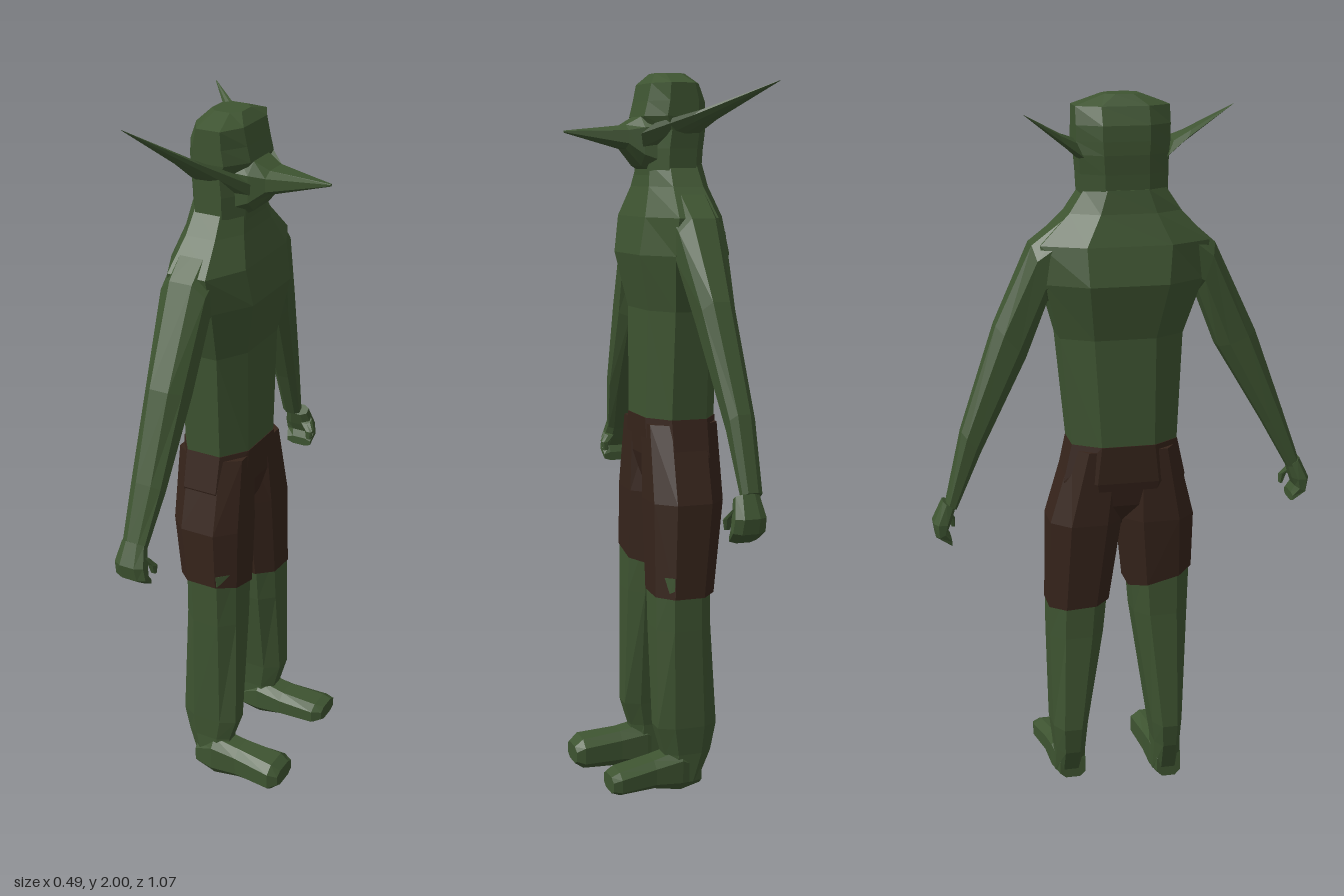
import * as THREE from 'three';

const V = (x, y, z) => new THREE.Vector3(x, y, z);
const skin = new THREE.MeshStandardMaterial({ color: 0x3e5431, flatShading: true });
const cloth = new THREE.MeshStandardMaterial({ color: 0x36241b, flatShading: true });

// Eight-sided ring around c with half-axes u and v; k sets how square it is
function ring(c, u, v, k = 0.5) {
  return [[1, k], [k, 1], [-k, 1], [-1, k], [-1, -k], [-k, -1], [k, -1], [1, -k]]
    .map(([a, b]) => c.clone().addScaledVector(u, a).addScaledVector(v, b));
}

// Ring across a limb: back/front x, outer (z, y) and inner (z, y)
const limb = ([x0, x1, zA, yA, zB, yB]) => ring(
  V((x0 + x1) / 2, (yA + yB) / 2, (zA + zB) / 2),
  V((x1 - x0) / 2, 0, 0), V(0, (yA - yB) / 2, (zA - zB) / 2));

// Level ring: height, back/front x, z range
const level = ([y, x0, x1, z0, z1]) => limb([x0, x1, z1, y, z0, y]);

// Upright ring facing x: x, y range, z range
const upright = ([x, y0, y1, z0, z1]) => ring(
  V(x, (y0 + y1) / 2, (z0 + z1) / 2), V(0, (y1 - y0) / 2, 0), V(0, 0, (z1 - z0) / 2), 0.55);

// Skin a closed, capped surface over the rings
function loft(name, material, rings) {
  const n = rings[0].length, pts = rings.flat(), tris = [];
  for (let r = 0; r < rings.length - 1; r++) {
    for (let i = 0; i < n; i++) {
      const a = r * n + i, b = r * n + (i + 1) % n;
      tris.push([a, b, b + n], [a, b + n, a + n]);
    }
  }
  const last = (rings.length - 1) * n;
  for (let i = 1; i < n - 1; i++) {
    tris.push([0, i + 1, i], [last, last + i, last + i + 1]);
  }
  // Turn the faces outward whichever way the rings run
  const volume = tris.reduce((s, [a, b, c]) =>
    s + pts[a].dot(pts[b].clone().cross(pts[c])), 0);
  const index = tris.flatMap(([a, b, c]) => (volume < 0 ? [a, c, b] : [a, b, c]));
  const geo = new THREE.BufferGeometry().setFromPoints(pts);
  geo.setIndex(index);
  const flat = geo.toNonIndexed();
  flat.computeVertexNormals();
  const mesh = new THREE.Mesh(flat, material);
  mesh.name = name;
  return mesh;
}

export function createModel() {
  const model = new THREE.Group();
  model.name = 'goblin';
  const add = (name, material, rings) => model.add(loft(name, material, rings));

  // Torso, from waist to sloping shoulders and neck
  add('torso', skin, [
    [1.06, -0.155, 0.045, -0.15, 0.14],
    [1.37, -0.15, 0.045, -0.18, 0.155],
    [1.52, -0.183, 0.075, -0.22, 0.205],
    [1.62, -0.16, 0.06, -0.23, 0.225],
    [1.70, -0.135, 0.035, -0.15, 0.15],
    [1.76, -0.125, 0.025, -0.11, 0.11],
  ].map(level));

  // Head with a low, flattened crown
  add('head', skin, [
    [1.71, -0.12, 0.03, -0.115, 0.115],
    [1.80, -0.125, 0.03, -0.12, 0.115],
    [1.85, -0.13, 0.025, -0.125, 0.115],
    [1.885, -0.13, 0.045, -0.13, 0.12],
    [1.925, -0.128, 0.035, -0.13, 0.12],
    [1.972, -0.11, 0.025, -0.13, 0.12],
    [2.0, -0.085, 0.0, -0.05, 0.045],
  ].map(level));

  // Long pointed nose
  add('nose', skin, [
    [0.0, 1.73, 1.90, -0.09, 0.085],
    [0.045, 1.755, 1.885, -0.075, 0.075],
    [0.085, 1.80, 1.863, -0.058, 0.056],
    [0.245, 1.842, 1.848, 0.005, 0.013],
  ].map(upright));

  // Swept-back ears
  for (const [name, s, tip] of [
    ['leftEar', 1, V(-0.21, 1.983, 0.25)],
    ['rightEar', -1, V(-0.248, 1.972, -0.29)],
  ]) {
    const u = V(0.075, -0.02, -0.02 * s), v = V(0.01, 0.035, 0.015 * s);
    const root = V(-0.02, 1.842, 0.1 * s);
    add(name, skin, [[0, 1], [0.35, 0.5], [1, 0.02]].map(([t, w]) => ring(
      root.clone().lerp(tip, t), u.clone().multiplyScalar(w), v.clone().multiplyScalar(w))));
  }

  // Arms, from inside the shoulder to the wrist
  add('leftArm', skin, [
    [-0.125, 0.015, 0.13, 1.71, 0.13, 1.50],
    [-0.12, 0.01, 0.245, 1.61, 0.20, 1.48],
    [-0.108, 0.0, 0.365, 1.36, 0.262, 1.32],
    [-0.1, -0.012, 0.45, 1.13, 0.40, 1.09],
    [-0.095, -0.03, 0.505, 0.975, 0.475, 0.955],
  ].map(limb));
  add('rightArm', skin, [
    [-0.125, 0.015, -0.13, 1.71, -0.13, 1.50],
    [-0.12, 0.01, -0.25, 1.62, -0.21, 1.47],
    [-0.112, -0.02, -0.35, 1.41, -0.27, 1.32],
    [-0.125, -0.055, -0.45, 1.13, -0.40, 1.07],
    [-0.125, -0.07, -0.497, 0.935, -0.47, 0.915],
  ].map(limb));

  // Hooked hands: palm, knuckles, fingers curling inward, and a thumb
  for (const [name, s, x, y] of [['left', 1, -0.06, 0], ['right', -1, -0.078, -0.05]]) {
    const hand = (dx0, dx1, zA, yA, zB, yB) =>
      limb([x + dx0, x + dx1, zA * s, yA + y, zB * s, yB + y]);
    add(name + 'Hand', skin, [
      hand(-0.036, 0.03, 0.505, 0.985, 0.472, 0.965),
      hand(-0.046, 0.04, 0.533, 0.925, 0.485, 0.925),
      hand(-0.044, 0.045, 0.527, 0.885, 0.495, 0.90),
      hand(-0.036, 0.042, 0.485, 0.855, 0.485, 0.88),
    ]);
    add(name + 'Thumb', skin, [
      hand(0.005, 0.04, 0.505, 0.95, 0.48, 0.935),
      hand(0.03, 0.055, 0.488, 0.92, 0.468, 0.915),
      hand(0.035, 0.05, 0.478, 0.89, 0.468, 0.89),
    ]);
  }

  // Shorts: pelvis and two legs
  add('shortsSeat', cloth, [
    [1.075, -0.157, 0.047, -0.152, 0.142],
    [0.97, -0.155, 0.045, -0.175, 0.165],
    [0.90, -0.14, 0.025, -0.15, 0.14],
    [0.83, -0.09, -0.01, -0.05, 0.04],
  ].map(level));
  add('shortsLeftLeg', cloth, [
    [-0.15, 0.045, 0.14, 1.06, 0.0, 1.06],
    [-0.15, 0.05, 0.192, 0.85, -0.012, 0.85],
    [-0.128, 0.05, 0.192, 0.685, 0.01, 0.64],
  ].map(limb));
  add('shortsRightLeg', cloth, [
    [-0.15, 0.045, -0.15, 1.06, 0.0, 1.06],
    [-0.15, 0.05, -0.212, 0.85, -0.012, 0.85],
    [-0.12, 0.05, -0.215, 0.59, -0.045, 0.60],
  ].map(limb));

  // Bare lower legs
  add('leftLeg', skin, [
    [0.72, -0.11, 0.048, 0.015, 0.19],
    [0.55, -0.11, 0.048, 0.03, 0.185],
    [0.20, -0.125, 0.047, 0.083, 0.172],
    [0.13, -0.11, 0.025, 0.092, 0.168],
    [0.03, -0.075, 0.02, 0.092, 0.175],
  ].map(level));
  add('rightLeg', skin, [
    [0.65, -0.11, 0.048, -0.213, -0.045],
    [0.50, -0.11, 0.048, -0.213, -0.06],
    [0.22, -0.125, 0.047, -0.208, -0.108],
    [0.14, -0.11, 0.025, -0.2, -0.115],
    [0.06, -0.075, 0.02, -0.2, -0.115],
  ].map(level));

  // Long flat feet, widening to the toes
  add('leftFoot', skin, [
    [-0.08, 0.015, 0.09, 0.1, 0.17],
    [-0.02, 0.0, 0.13, 0.09, 0.182],
    [0.06, 0.012, 0.115, 0.088, 0.18],
    [0.175, 0.018, 0.105, 0.078, 0.195],
    [0.2, 0.035, 0.085, 0.085, 0.178],
  ].map(upright));
  add('rightFoot', skin, [
    [-0.08, 0.045, 0.11, -0.19, -0.115],
    [-0.02, 0.035, 0.15, -0.205, -0.108],
    [0.06, 0.05, 0.13, -0.21, -0.108],
    [0.165, 0.05, 0.115, -0.228, -0.118],
    [0.19, 0.06, 0.105, -0.225, -0.138],
  ].map(upright));

  return model;
}
